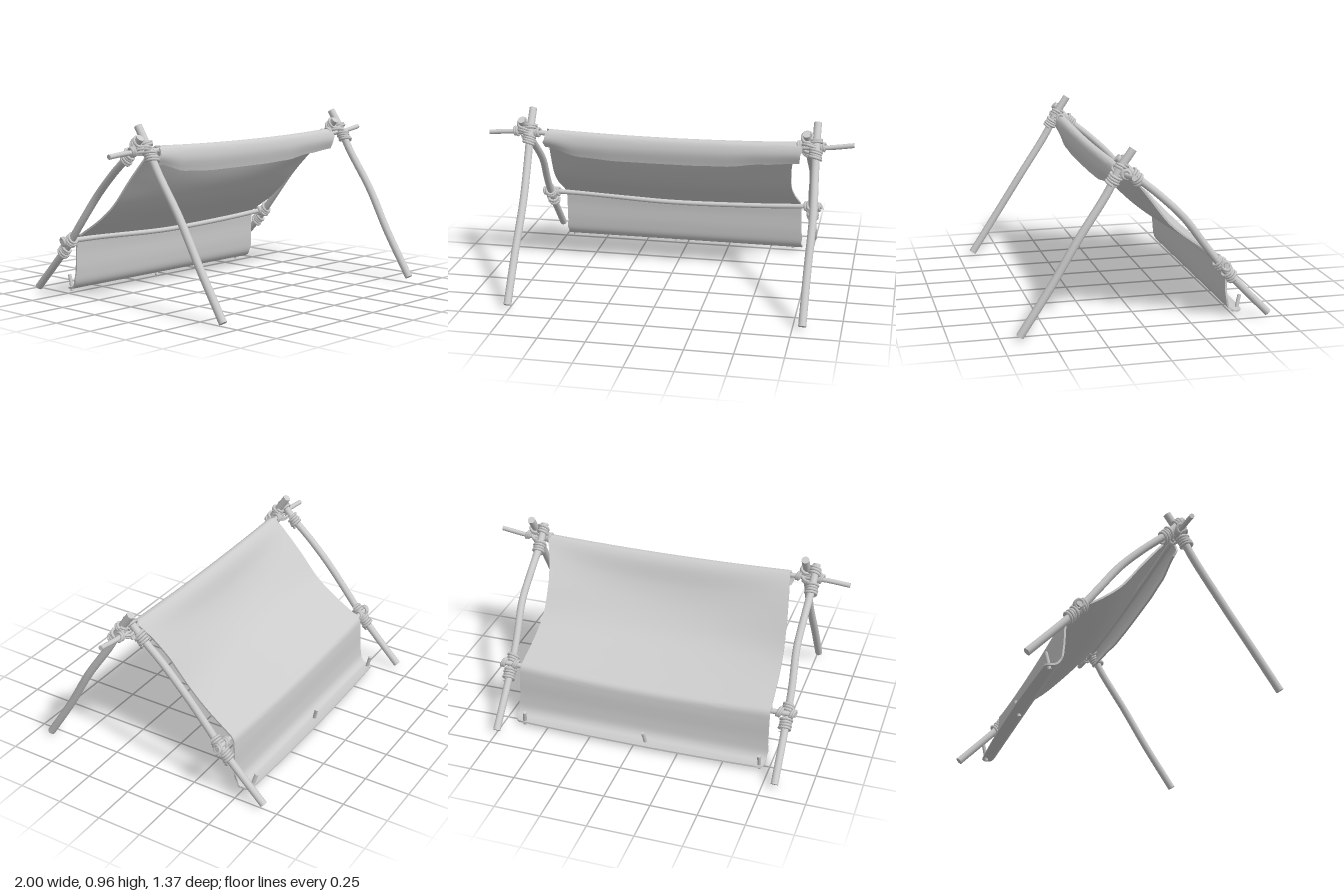
import * as THREE from 'three';
import { mergeGeometries, toCreasedNormals } from 'three/addons/utils/BufferGeometryUtils.js';

const V = (x, y, z) => new THREE.Vector3(x, y, z);
const material = new THREE.MeshStandardMaterial({ color: 0xcccccc });

function addMesh(parent, name, geometry) {
  const mesh = new THREE.Mesh(geometry, material);
  mesh.name = name;
  parent.add(mesh);
  return mesh;
}

// Crooked round pole along a smooth path, closed with flat ends
function pole(points, radius) {
  const curve = new THREE.CatmullRomCurve3(points.map((p) => V(...p)));
  const parts = [new THREE.TubeGeometry(curve, 32, radius, 14)];
  for (const t of [0, 1]) {
    const direction = curve.getTangent(t).multiplyScalar(t ? 1 : -1);
    const cap = new THREE.CircleGeometry(radius, 14);
    cap.applyQuaternion(new THREE.Quaternion().setFromUnitVectors(V(0, 0, 1), direction));
    const p = curve.getPoint(t);
    parts.push(cap.translate(p.x, p.y, p.z));
  }
  return mergeGeometries(parts);
}

// Rope wound in a slightly uneven helix about an axis
function winding(center, axis, turns, radius, length, rope = 0.008) {
  const q = new THREE.Quaternion().setFromUnitVectors(V(0, 1, 0), V(...axis).normalize());
  const points = [];
  const count = turns * 12;
  for (let i = 0; i <= count; i++) {
    const a = (i / 12) * Math.PI * 2;
    const r = radius * (1 + 0.07 * Math.sin(a * 0.37 + center[0] * 9));
    const y = (i / count - 0.5) * length + 0.006 * Math.sin(a + turns);
    points.push(V(r * Math.cos(a), y, r * Math.sin(a)).applyQuaternion(q).add(V(...center)));
  }
  return new THREE.TubeGeometry(new THREE.CatmullRomCurve3(points), count, rope, 6);
}

// Sample an evenly spaced list of values smoothly
function sample(values, t) {
  const f = Math.min(Math.max(t, 0), 1) * (values.length - 1);
  const i = Math.min(Math.floor(f), values.length - 2);
  return THREE.MathUtils.lerp(values[i], values[i + 1], THREE.MathUtils.smoothstep(f - i, 0, 1));
}

// Cloth stations from front hem to ground hem:
// [z, y at the sides, z, y in the middle, left edge x, right edge x]
const stations = [
  [0.135, 0.74, 0.138, 0.69, -0.68, 0.715],
  [0.152, 0.785, 0.152, 0.76, -0.68, 0.72],
  [0.138, 0.826, 0.138, 0.812, -0.675, 0.72],
  [0.118, 0.832, 0.118, 0.816, -0.675, 0.72],
  [0.095, 0.815, 0.09, 0.79, -0.68, 0.71],
  [0.03, 0.74, 0.045, 0.68, -0.693, 0.68],
  [-0.05, 0.64, -0.015, 0.585, -0.707, 0.657],
  [-0.16, 0.5, -0.125, 0.47, -0.72, 0.648],
  [-0.27, 0.41, -0.27, 0.38, -0.725, 0.658],
  [-0.405, 0.328, -0.405, 0.305, -0.726, 0.675],
  [-0.438, 0.305, -0.438, 0.284, -0.726, 0.68],
  [-0.448, 0.25, -0.448, 0.24, -0.726, 0.683],
  [-0.455, 0.12, -0.455, 0.12, -0.726, 0.685],
  [-0.468, 0.05, -0.468, 0.05, -0.726, 0.685],
  [-0.495, 0.02, -0.495, 0.02, -0.725, 0.685],
  [-0.53, 0.015, -0.535, 0.015, -0.722, 0.682],
  [-0.55, 0.016, -0.565, 0.016, -0.705, 0.662],
];
const hemHeights = [0.75, 0.7, 0.688, 0.687, 0.687, 0.692, 0.715, 0.73];

function clothGeometry() {
  const columns = 36, rows = 90, thickness = 0.01, ring = rows * 2 + 2;
  const left = new THREE.CatmullRomCurve3(stations.map((s) => V(s[4], 0, 0)));
  const right = new THREE.CatmullRomCurve3(stations.map((s) => V(s[5], 0, 0)));
  const positions = [], index = [];
  for (let j = 0; j <= columns; j++) {
    const u = j / columns;
    const sag = 1 - (2 * u - 1) ** 2;
    const profile = new THREE.CatmullRomCurve3(stations.map((s, k) => {
      let y = THREE.MathUtils.lerp(s[1], s[3], sag);
      if (k === 0) y = sample(hemHeights, u);
      if (k === 1) y = sample(hemHeights, u) * 0.45 + 0.825 * 0.55;
      return V(0, y, THREE.MathUtils.lerp(s[0], s[2], sag));
    }));
    // outer layer forward, inner layer back
    for (let k = 0; k < ring; k++) {
      const outer = k <= rows;
      const t = (outer ? k : ring - 1 - k) / rows;
      const p = profile.getPoint(t);
      const d = profile.getTangent(t);
      const h = outer ? thickness : 0;
      const x = THREE.MathUtils.lerp(left.getPoint(t).x, right.getPoint(t).x, u);
      positions.push(x, p.y - d.z * h, p.z + d.y * h);
    }
  }
  for (let j = 0; j < columns; j++) {
    for (let k = 0; k < ring; k++) {
      const a = j * ring + k, b = j * ring + ((k + 1) % ring);
      index.push(a, a + ring, b, a + ring, b + ring, b);
    }
  }
  // side edges
  const end = columns * ring;
  for (let k = 0; k < rows; k++) {
    const a = k, b = k + 1, c = ring - 2 - k, d = ring - 1 - k;
    index.push(a, b, c, a, c, d, end + a, end + c, end + b, end + a, end + d, end + c);
  }
  const geometry = new THREE.BufferGeometry();
  geometry.setAttribute('position', new THREE.Float32BufferAttribute(positions, 3));
  geometry.setIndex(index);
  return toCreasedNormals(geometry, 0.9);
}

export function createModel() {
  const group = new THREE.Group();
  group.name = 'leanToShelter';
  const frontAxis = [0, 0.92, -0.58], backAxis = [0, 0.73, 0.68], across = [1, 0, 0];

  // Both A-frames, each with its leg positions
  const sides = [
    { name: 'right', out: -1, front: -0.76, back: -0.808, top: 0.945 },
    { name: 'left', out: 1, front: 0.802, back: 0.752, top: 0.94 },
  ];
  for (const { name, out, front, back, top } of sides) {
    const frame = new THREE.Group();
    frame.name = name + 'Frame';
    group.add(frame);
    const dz = out * -0.006;
    addMesh(frame, 'frontLeg', pole([
      [front, 0.018, 0.66 + dz], [front + 0.004, 0.27, 0.498 + dz], [front + 0.012, 0.5, 0.358],
      [front + 0.004, 0.72, 0.212], [front, 0.84, 0.146], [front, top, 0.077],
    ], 0.021));
    addMesh(frame, 'backLeg', pole([
      [back - 0.008, 0.022, -0.668], [back - 0.004, 0.275, -0.425], [back, 0.41, -0.318],
      [back + 0.012, 0.57, -0.195], [back + 0.006, 0.69, -0.07], [back, 0.795, 0.055], [back - 0.002, 0.892, 0.147],
    ], 0.02));

    // Upper lashings
    const upper = [
      [[back, 0.787, 0.05], backAxis, 4, 0.028, 0.06],
      [[back, 0.86, 0.118], backAxis, 3, 0.027, 0.045],
      [[front, 0.795, 0.172], frontAxis, 4, 0.029, 0.055],
      [[front, 0.855, 0.135], frontAxis, 2, 0.028, 0.025],
      [[front + 0.036, 0.822, 0.122], across, 2, 0.021, 0.025],
      [[back - 0.034, 0.822, 0.122], across, 2, 0.021, 0.025],
      [[(front + back) / 2, 0.825, 0.13], [0.3, 0.8, -0.5], 2, 0.043, 0.025],
    ];
    // Lower lashings
    const lower = [
      [[back - 0.003, 0.25, -0.45], backAxis, 4, 0.028, 0.06],
      [[back - 0.003, 0.312, -0.392], backAxis, 3, 0.028, 0.045],
      [[back + 0.034, 0.303, -0.42], across, 2, 0.021, 0.025],
      [[back - 0.034, 0.303, -0.42], across, 2, 0.021, 0.025],
    ];
    upper.forEach((w) => addMesh(frame, 'upperLashing', winding(...w)));
    lower.forEach((w) => addMesh(frame, 'lowerLashing', winding(...w)));
  }

  // Cross poles
  addMesh(group, 'ridgePole', pole([
    [-1, 0.808, 0.122], [-0.88, 0.818, 0.122], [-0.7, 0.818, 0.122], [0, 0.803, 0.122],
    [0.7, 0.812, 0.122], [0.86, 0.818, 0.122], [1, 0.838, 0.122],
  ], 0.013));
  addMesh(group, 'lowerPole', pole([
    [-0.855, 0.303, -0.422], [-0.6, 0.3, -0.42], [-0.1, 0.28, -0.418],
    [0.4, 0.288, -0.42], [0.8, 0.306, -0.422],
  ], 0.014));

  addMesh(group, 'cloth', clothGeometry());

  // Ground pegs
  for (const [x, z, lean] of [[-0.7, -0.524, 0], [-0.068, -0.515, 0.012], [0.635, -0.532, -0.012]]) {
    addMesh(group, 'peg', pole([[x, 0, z], [x + lean / 2, 0.045, z - 0.01], [x + lean, 0.09, z - 0.022]], 0.01));
  }
  return group;
}
